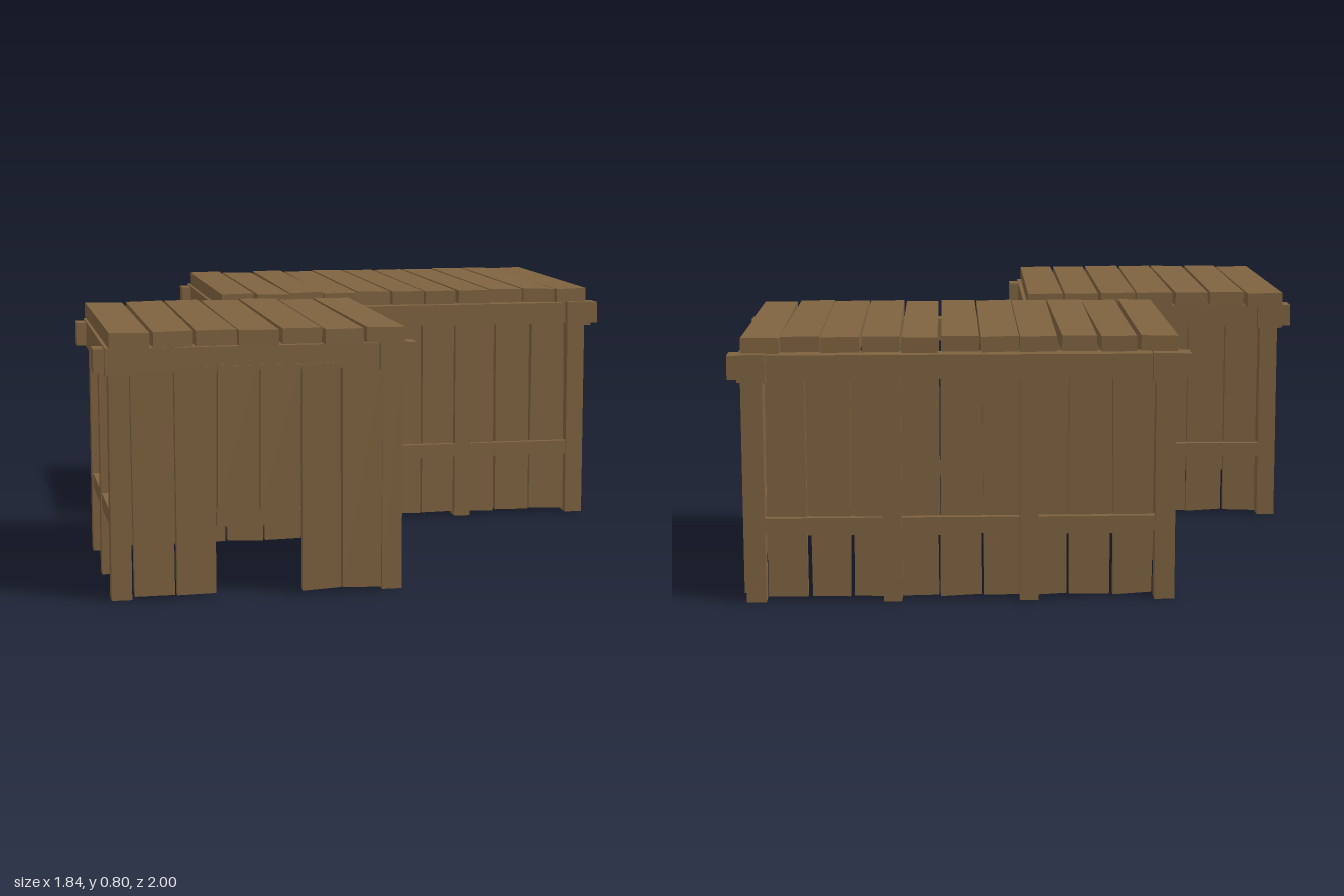
import * as THREE from 'three';

const wood = new THREE.MeshStandardMaterial({ color: 0x7f6340, flatShading: true });
const BEAM_Y = 0.71, POST = 0.06, RAIL_Y = 0.233, RAIL_H = 0.046;

// Small seeded generator for the uneven timber, returns 0..1
let seed = 7;
function rand() {
  seed = (seed * 16807) % 2147483647;
  return seed / 2147483647;
}

function box(parent, name, w, h, d, x, y, z) {
  const mesh = new THREE.Mesh(new THREE.BoxGeometry(w, h, d), wood);
  mesh.name = name;
  mesh.position.set(x, y, z);
  parent.add(mesh);
  return mesh;
}

// Rough board from x0 to x1: its long sides taper unevenly and its ends are a little skewed
function plank(parent, name, x0, x1, length, thick, y, z) {
  const mesh = box(parent, name, x1 - x0, length, thick, (x0 + x1) / 2, y, z);
  const p = mesh.geometry.attributes.position;
  const inset = [0, 1, 2, 3].map(() => 0.001 + 0.007 * rand() ** 2);
  const skew = (rand() - 0.5) * 0.008;
  for (let i = 0; i < p.count; i++) {
    const sx = Math.sign(p.getX(i)), sy = Math.sign(p.getY(i));
    const k = (sx > 0 ? 1 : 0) + (sy > 0 ? 2 : 0);
    p.setX(i, p.getX(i) - sx * inset[k]);
    p.setY(i, p.getY(i) + sx * skew);
  }
  mesh.geometry.computeVertexNormals();
  return mesh;
}

// Row of boards between u0 and u1
function boards(parent, u0, u1, bottom, top, z, thick) {
  const n = Math.max(1, Math.round((u1 - u0) / 0.13));
  const step = (u1 - u0) / n;
  for (let i = 0; i < n; i++) {
    plank(parent, 'wallPlank', u0 + i * step, u0 + (i + 1) * step, top - bottom, thick,
      (top + bottom) / 2, z + (rand() - 0.5) * 0.006);
  }
}

// Wall drawn facing +z, centred on its post line; half is the distance to the corner posts
function wall(name, half, { door = false, rail = false, midPosts = 0 }) {
  const g = new THREE.Group();
  g.name = name;
  const e = half - POST / 2;
  if (door) {
    // Boards leave a low doorway topped by a lintel
    boards(g, -e, -0.122, 0.012, 0.69, 0.025, 0.035);
    boards(g, -0.122, 0.128, 0.255, 0.69, 0.025, 0.035);
    boards(g, 0.128, e, 0.012, 0.69, 0.025, 0.035);
    box(g, 'doorLintel', 0.25, RAIL_H, 0.04, 0.003, RAIL_Y, 0.01);
  } else {
    boards(g, -e, e, 0.012, 0.69, rail ? -0.008 : 0.02, 0.03);
  }
  // Middle posts with rails in the bays between them
  const bay = (2 * half) / (midPosts + 1);
  for (let i = 0; i <= midPosts; i++) {
    const u = -half + i * bay;
    if (i > 0) box(g, 'middlePost', POST - 0.005, 0.69, POST, u, 0.345, 0);
    if (rail) box(g, 'rail', bay - POST + 0.004, RAIL_H, 0.03, u + bay / 2, RAIL_Y, 0.012);
  }
  return g;
}

// Hut with half sizes hw, hd to the corner posts; walls in the order front, left, back, right
function hut(name, hw, hd, roofZ, specs) {
  const g = new THREE.Group();
  g.name = name;
  for (const sx of [-1, 1]) {
    for (const sz of [-1, 1]) box(g, 'cornerPost', POST, 0.69, POST, sx * hw, 0.345, sz * hd);
  }
  // Crossing top beams that poke out at the corners
  for (const s of [-1, 1]) {
    box(g, 'longBeam', 2 * (hw + 0.073), 0.072, 0.08, 0, BEAM_Y, s * hd);
    box(g, 'crossBeam', 0.084, 0.082, 2 * (hd + 0.064), s * hw, BEAM_Y, 0);
  }
  const names = ['frontWall', 'leftWall', 'backWall', 'rightWall'];
  specs.forEach((spec, i) => {
    const along = i % 2 === 0;
    const w = wall(names[i], along ? hw : hd, spec);
    const a = (i * Math.PI) / 2, off = along ? hd : hw;
    w.rotation.y = a;
    w.position.set(Math.sin(a) * off, 0, Math.cos(a) * off);
    g.add(w);
  });
  // Flat roof of boards laid front to back
  const roof = new THREE.Group();
  roof.name = 'roof';
  const rw = hw + 0.035, n = Math.round((2 * rw) / 0.122), step = (2 * rw) / n;
  for (let i = 0; i < n; i++) {
    const x = -rw + i * step;
    const p = plank(roof, 'roofPlank', x, x + step, 0.885, 0.046,
      0, 0);
    p.rotation.x = Math.PI / 2;
    p.rotation.y = (rand() - 0.5) * 0.04;
    p.position.set(x + step / 2, 0.772 + rand() * 0.004, roofZ + (i % 2 ? 0.008 : -0.004));
  }
  g.add(roof);
  return g;
}

export function createModel() {
  seed = 7;
  const model = new THREE.Group();
  model.name = 'woodenHuts';

  const small = hut('smallHut', 0.405, 0.35, -0.015, [
    { door: true },
    { rail: true, midPosts: 1 },
    { rail: true },
    { rail: true, midPosts: 1 },
  ]);
  small.position.set(-0.445, 0, 0.562);

  const large = hut('largeHut', 0.61, 0.407, 0.012, [
    { rail: true, midPosts: 2 },
    { door: true },
    { rail: true, midPosts: 2 },
    {},
  ]);
  large.position.set(0.232, 0, -0.53);

  model.add(small, large);
  return model;
}
